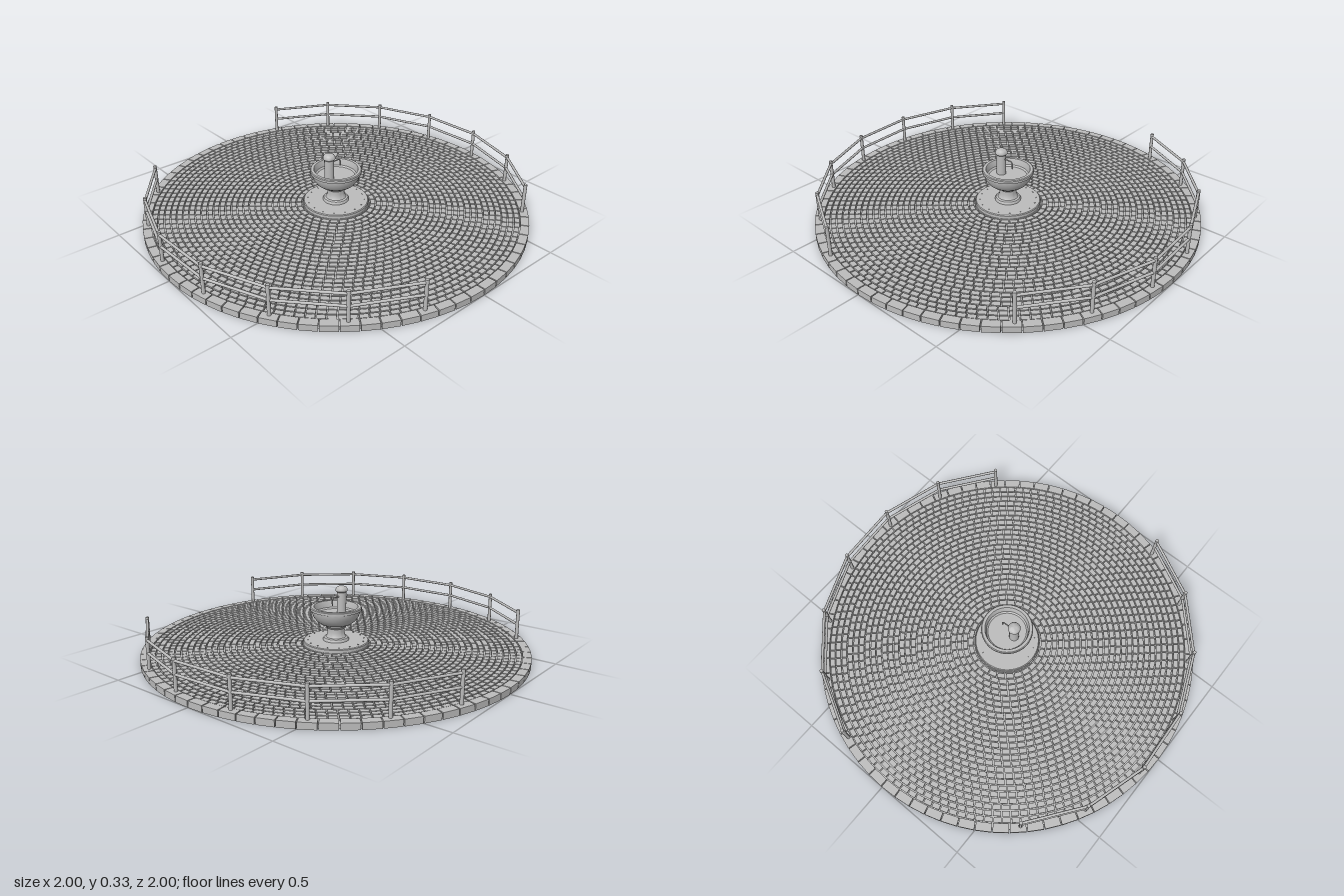
import * as THREE from 'three';
import { mergeGeometries, toCreasedNormals } from 'three/addons/utils/BufferGeometryUtils.js';

// A wedge-shaped stone: a box bent around the y axis.
function arcStone(r0, r1, a0, a1, y0, y1) {
  const g = new THREE.BoxGeometry(1, 1, 1);
  const p = g.attributes.position;
  for (let i = 0; i < p.count; i++) {
    const a = p.getX(i) < 0 ? a0 : a1;
    const r = p.getZ(i) < 0 ? r0 : r1;
    p.setXYZ(i, r * Math.sin(a), p.getY(i) < 0 ? y0 : y1, r * Math.cos(a));
  }
  g.computeVertexNormals();
  return g;
}

// A ring of equal stones with a constant joint width.
function stoneRing(r0, r1, count, gap, y0, y1, offset) {
  const stones = [];
  const step = Math.PI * 2 / count;
  const half = step / 2 - gap / (r0 + r1);
  for (let i = 0; i < count; i++) {
    const a = (i + offset) * step;
    stones.push(arcStone(r0, r1, a - half, a + half, y0, y1));
  }
  return stones;
}

export function createModel() {
  const model = new THREE.Group();
  model.name = 'fountainPlaza';
  const grey = new THREE.MeshStandardMaterial({ name: 'light grey', color: 0xbcbcbc });

  function add(name, geometry, parent = model, x = 0, y = 0, z = 0) {
    const mesh = new THREE.Mesh(geometry, grey);
    mesh.name = name;
    mesh.position.set(x, y, z);
    parent.add(mesh);
    return mesh;
  }
  const lathe = (pts, segments = 40) => toCreasedNormals(
    new THREE.LatheGeometry(pts.map(([r, y]) => new THREE.Vector2(r, y)), segments), 0.6);

  // Ground disc, showing through the joints
  add('groundDisc', new THREE.CylinderGeometry(0.985, 0.985, 0.0175, 96), model, 0, 0.00925);

  // Kerb and concentric paving
  add('kerb', mergeGeometries(stoneRing(0.957, 1, 72, 0.005, 0, 0.032, 0.5)));
  const pavers = [];
  const rings = 26, inner = 0.15, pitch = (0.955 - inner) / rings;
  for (let i = 0; i < rings; i++) {
    const r = inner + i * pitch;
    const count = Math.round(Math.PI * 2 * (r + pitch / 2) / 0.045);
    pavers.push(...stoneRing(r + 0.003, r + pitch - 0.003, count, 0.006, 0.01, 0.03, (i % 2) / 2));
  }
  add('pavers', mergeGeometries(pavers));

  // Fountain: plinth, pedestal and bowl
  const fountain = new THREE.Group();
  fountain.name = 'fountain';
  model.add(fountain);
  add('plinth', lathe([[0, 0.016], [0.172, 0.016], [0.172, 0.046], [0.168, 0.05], [0, 0.05]], 48), fountain);
  add('pedestal', lathe([[0.068, 0.048], [0.068, 0.056], [0.063, 0.064], [0.053, 0.068], [0.048, 0.076],
    [0.044, 0.095], [0.045, 0.115], [0.052, 0.124], [0.056, 0.128], [0.056, 0.14], [0, 0.14]]), fountain);
  add('bowl', lathe([[0, 0.132], [0.06, 0.134], [0.085, 0.143], [0.104, 0.158], [0.118, 0.178],
    [0.126, 0.2], [0.128, 0.211], [0.134, 0.213], [0.134, 0.226], [0.13, 0.23], [0.115, 0.23],
    [0.112, 0.222], [0.108, 0.195], [0.1, 0.188], [0, 0.188]], 48), fountain);

  // Plinth bolts
  for (let i = 0; i < 16; i++) {
    const a = i / 16 * Math.PI * 2;
    add('plinthBolt', new THREE.CylinderGeometry(0.003, 0.003, 0.004, 8), fountain,
      0.148 * Math.sin(a), 0.051, 0.148 * Math.cos(a));
  }

  // Water column with domed cap and bent spout
  add('column', new THREE.CylinderGeometry(0.025, 0.025, 0.125, 24), fountain, 0, 0.2375, 0.046);
  add('columnCap', lathe([[0, 0.298], [0.026, 0.298], [0.032, 0.304], [0.032, 0.313],
    [0.026, 0.323], [0.014, 0.329], [0, 0.331]], 24), fountain, 0, 0, 0.046);
  const spoutPath = new THREE.CatmullRomCurve3([[0.03, 0.276], [0, 0.277], [-0.02, 0.276],
    [-0.028, 0.268], [-0.029, 0.24]].map(([z, y]) => new THREE.Vector3(0, y, z)));
  add('spout', new THREE.TubeGeometry(spoutPath, 20, 0.0035, 8), fountain);
  add('spoutTip', new THREE.SphereGeometry(0.0035, 8, 6), fountain, 0, 0.24, -0.029);

  // Two opposite fence arcs of seven posts with straight double rails
  const up = new THREE.Vector3(0, 1, 0);
  const postGeometry = new THREE.CylinderGeometry(0.009, 0.009, 0.175, 12);
  for (const [name, start] of [['frontFence', 18], ['backFence', 198]]) {
    const fence = new THREE.Group();
    fence.name = name;
    model.add(fence);
    const posts = Array.from({ length: 7 }, (_, i) => {
      const a = THREE.MathUtils.degToRad(start + i * 19.8);
      return new THREE.Vector3(0.97 * Math.cos(a), 0, 0.97 * Math.sin(a));
    });
    posts.forEach((p, i) => {
      add('post', postGeometry, fence, p.x, 0.1035, p.z);
      if (!i) return;
      const span = p.clone().sub(posts[i - 1]);
      const mid = p.clone().add(posts[i - 1]).multiplyScalar(0.5);
      for (const y of [0.11, 0.174]) {
        const rail = add('rail', new THREE.CylinderGeometry(0.007, 0.007, span.length(), 10),
          fence, mid.x, y, mid.z);
        rail.quaternion.setFromUnitVectors(up, span.clone().normalize());
      }
    });
  }
  return model;
}
